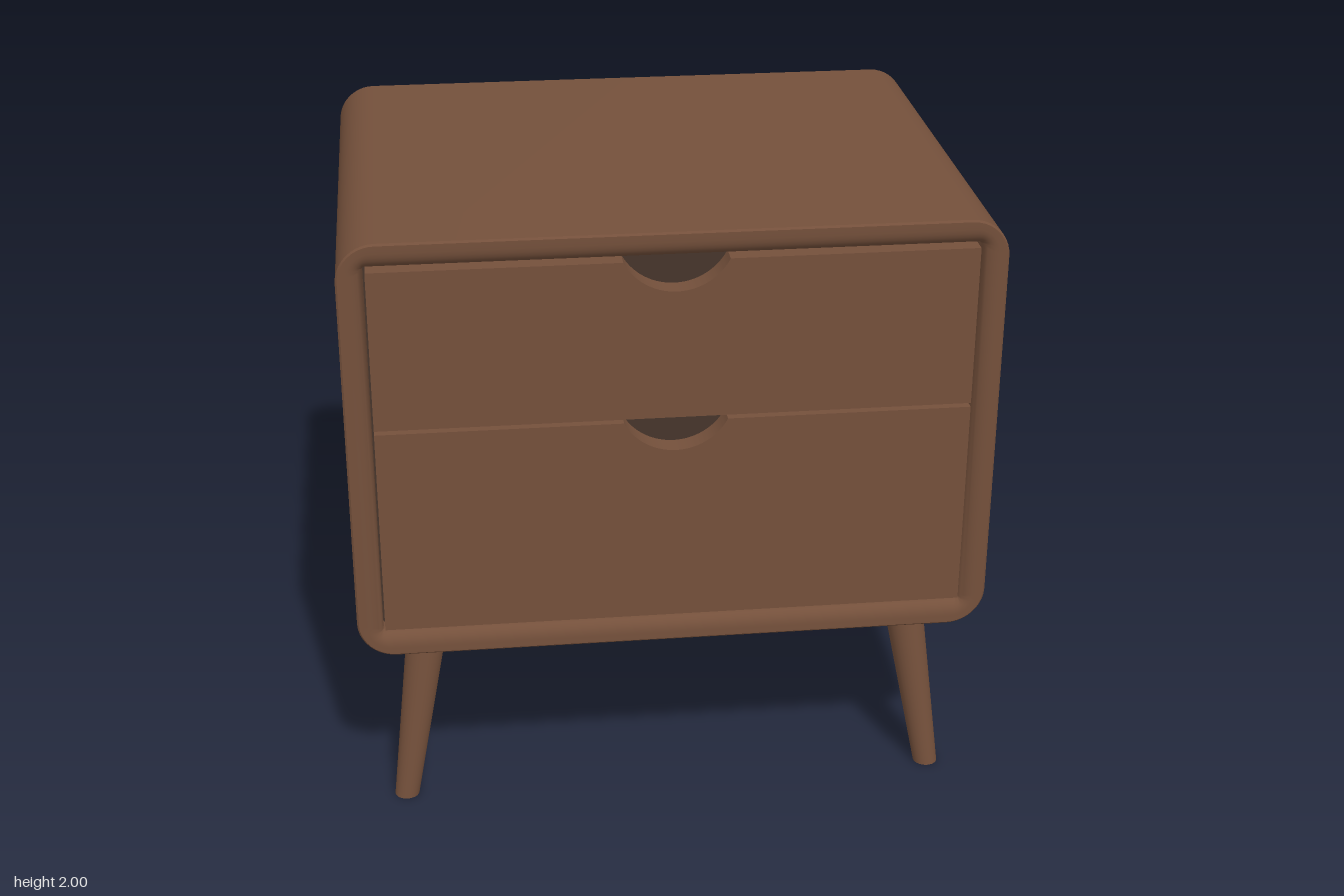
import * as THREE from 'three';
import { toCreasedNormals } from 'three/addons/utils/BufferGeometryUtils.js';

const wood = new THREE.MeshStandardMaterial({ color: 0x74503b });
wood.name = 'walnut wood';
const dark = new THREE.MeshStandardMaterial({ color: 0x46352b });
dark.name = 'dark interior';

const W = 1, H = 0.6915, D = 0.768, MID = 1.3085;

// Counter-clockwise rounded rectangle, always with the same point count
function roundedRing(hw, hh, r, z) {
  const pts = [], steps = 10;
  const corners = [[1, 1], [-1, 1], [-1, -1], [1, -1]];
  corners.forEach(([sx, sy], k) => {
    for (let i = 0; i <= steps; i++) {
      const a = (k + i / steps) * Math.PI / 2;
      pts.push([sx * (hw - r) + r * Math.cos(a), sy * (hh - r) + r * Math.sin(a), z]);
    }
  });
  return pts;
}

function loft(rings) {
  const n = rings[0].length, index = [];
  for (let i = 0; i < rings.length - 1; i++) {
    for (let j = 0; j < n; j++) {
      const a = i * n + j, b = i * n + (j + 1) % n;
      index.push(a, b, b + n, a, b + n, a + n);
    }
  }
  const geo = new THREE.BufferGeometry();
  geo.setAttribute('position', new THREE.Float32BufferAttribute(rings.flat(2), 3));
  geo.setIndex(index);
  return toCreasedNormals(geo, 0.6);
}

// Cabinet: closed back, rounded body, front rim rolling into the opening
function cabinetGeometry() {
  const ring = (inset, z) =>
    roundedRing(W - inset, H - inset, Math.max(0.12 - inset * 1.4, 0.004), z);
  const rings = [
    roundedRing(0, 0, 0, -D),
    ring(0.006, -D), ring(0, -D + 0.006),
    ring(0, D - 0.006), ring(0.006, D), ring(0.03, D),
  ];
  for (let i = 1; i <= 6; i++) {
    const a = i / 6 * Math.PI / 2;
    rings.push(ring(0.03 + 0.05 * Math.sin(a), D - 0.04 * (1 - Math.cos(a))));
  }
  rings.push(ring(0.08, 0.68));
  return loft(rings);
}

// Drawer front with a scooped finger notch in its top edge
function drawerGeometry(bottom, top) {
  const r = 0.178, drop = 0.098, hw = 0.913;
  const a = Math.asin((r - drop) / r);
  const s = new THREE.Shape();
  s.moveTo(-hw, bottom);
  s.lineTo(hw, bottom);
  s.lineTo(hw, top);
  s.absarc(0, top + r - drop, r, -a, a - Math.PI, true);
  s.lineTo(-hw, top);
  s.closePath();
  const geo = new THREE.ExtrudeGeometry(s, { depth: 0.07, bevelEnabled: false, curveSegments: 28 });
  return toCreasedNormals(geo, 0.5);
}

// Tapered leg, sheared outward so both ends stay level
function legGeometry(sx, sz) {
  const h = 0.625;
  const geo = new THREE.CylinderGeometry(0.067, 0.04, h, 28);
  geo.translate(0, h / 2, 0);
  const p = geo.attributes.position;
  for (let i = 0; i < p.count; i++) {
    const t = p.getY(i) / h;
    p.setX(i, p.getX(i) + sx * (0.875 - 0.097 * t));
    p.setZ(i, p.getZ(i) + sz * (0.625 - 0.075 * t));
  }
  return toCreasedNormals(geo, 0.6);
}

export function createModel() {
  const group = new THREE.Group();
  const add = (name, geo, mat) => {
    const mesh = new THREE.Mesh(geo, mat);
    mesh.name = name;
    group.add(mesh);
    return mesh;
  };

  add('cabinet', cabinetGeometry(), wood).position.y = MID;
  add('cavity', new THREE.BoxGeometry(1.84, 1.223, 0.008), dark).position.set(0, MID, 0.688);

  add('upperDrawer', drawerGeometry(1.4, 1.91), wood).position.z = 0.694;
  add('lowerDrawer', drawerGeometry(0.709, 1.387), wood).position.z = 0.694;

  for (const sx of [1, -1]) {
    for (const sz of [1, -1]) {
      add(`${sz > 0 ? 'front' : 'back'}${sx > 0 ? 'Left' : 'Right'}Leg`, legGeometry(sx, sz), wood);
    }
  }
  return group;
}
